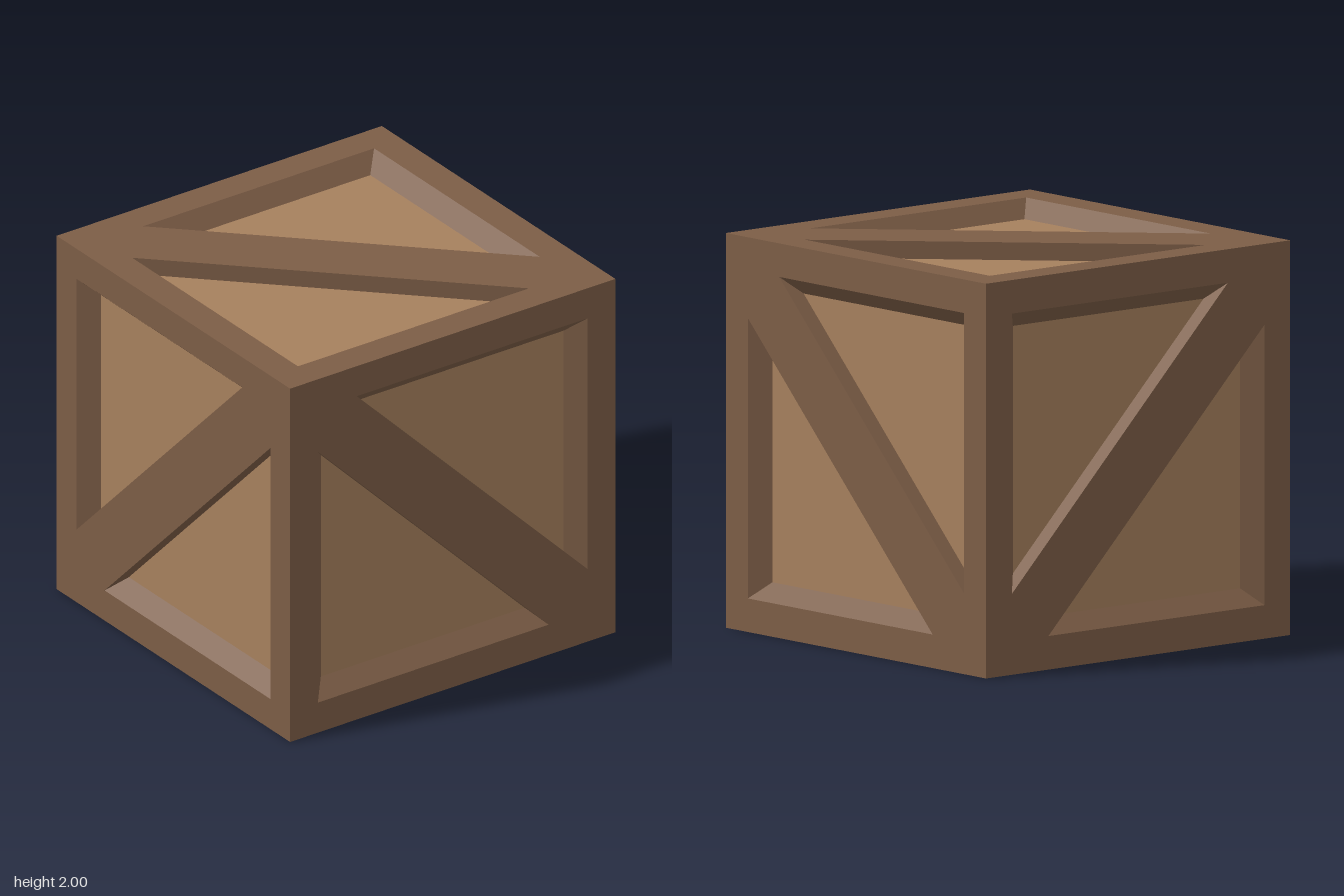
import * as THREE from 'three';

const DEPTH = 0.09;   // how far the panels are sunk
const OUTER = 0.83;   // inner edge of the frame at the surface
const INNER = 0.747;  // inner edge of the frame at the panel
const BRACE = 0.24;   // brace edges lie on x + y = +-BRACE

// Counter-clockwise triangle beside the brace; sign picks the side
const triangle = (edge, sign) => [
  [edge, edge], [BRACE - edge, edge], [edge, BRACE - edge],
].map(([x, y]) => new THREE.Vector2(x * sign, y * sign));

// Sloped walls along the frame, upright wall along the brace
function wallGeometry(sign) {
  const top = triangle(OUTER, sign), low = triangle(INNER, sign);
  const pos = [];
  for (let i = 0; i < 3; i++) {
    const j = (i + 1) % 3;
    const a = [top[i].x, top[i].y, 1], b = [top[j].x, top[j].y, 1];
    const c = [low[j].x, low[j].y, 1 - DEPTH], d = [low[i].x, low[i].y, 1 - DEPTH];
    pos.push(...a, ...b, ...c, ...a, ...c, ...d);
  }
  const geo = new THREE.BufferGeometry();
  geo.setAttribute('position', new THREE.Float32BufferAttribute(pos, 3));
  geo.computeVertexNormals();
  return geo;
}

export function createModel() {
  const wood = new THREE.MeshStandardMaterial({ color: 0x7c5d46, flatShading: true });
  const board = new THREE.MeshStandardMaterial({ color: 0xa6805d, flatShading: true });

  // Frame and brace surface with two triangular openings
  const outline = new THREE.Shape([[-1, -1], [1, -1], [1, 1], [-1, 1]].map(p => new THREE.Vector2(...p)));
  for (const s of [1, -1]) outline.holes.push(new THREE.Path(triangle(OUTER, s)));
  const frameGeo = new THREE.ShapeGeometry(outline).translate(0, 0, 1);
  const pockets = [1, -1].map(s => ({
    walls: wallGeometry(s),
    panel: new THREE.ShapeGeometry(new THREE.Shape(triangle(INNER, s))).translate(0, 0, 1 - DEPTH),
  }));

  const model = new THREE.Group();
  model.name = 'crate';
  const add = (parent, name, geo, mat) => {
    const mesh = new THREE.Mesh(geo, mat);
    mesh.name = name;
    parent.add(mesh);
  };

  // Six sides: name, turn about x, turn about y, roll that sets the brace direction
  const q = Math.PI / 2;
  const sides = [
    ['frontSide', 0, 0, 0], ['backSide', 0, 2 * q, q],
    ['plusXSide', 0, q, 0], ['minusXSide', 0, -q, q],
    ['topSide', -q, 0, 0], ['bottomSide', q, 0, q],
  ];
  for (const [name, rx, ry, roll] of sides) {
    const side = new THREE.Group();
    side.name = name;
    side.rotation.set(rx, ry, roll);
    side.position.y = 1;
    add(side, 'bracedFrame', frameGeo, wood);
    for (const { walls, panel } of pockets) {
      add(side, 'recessWalls', walls, wood);
      add(side, 'panel', panel, board);
    }
    model.add(side);
  }
  return model;
}
